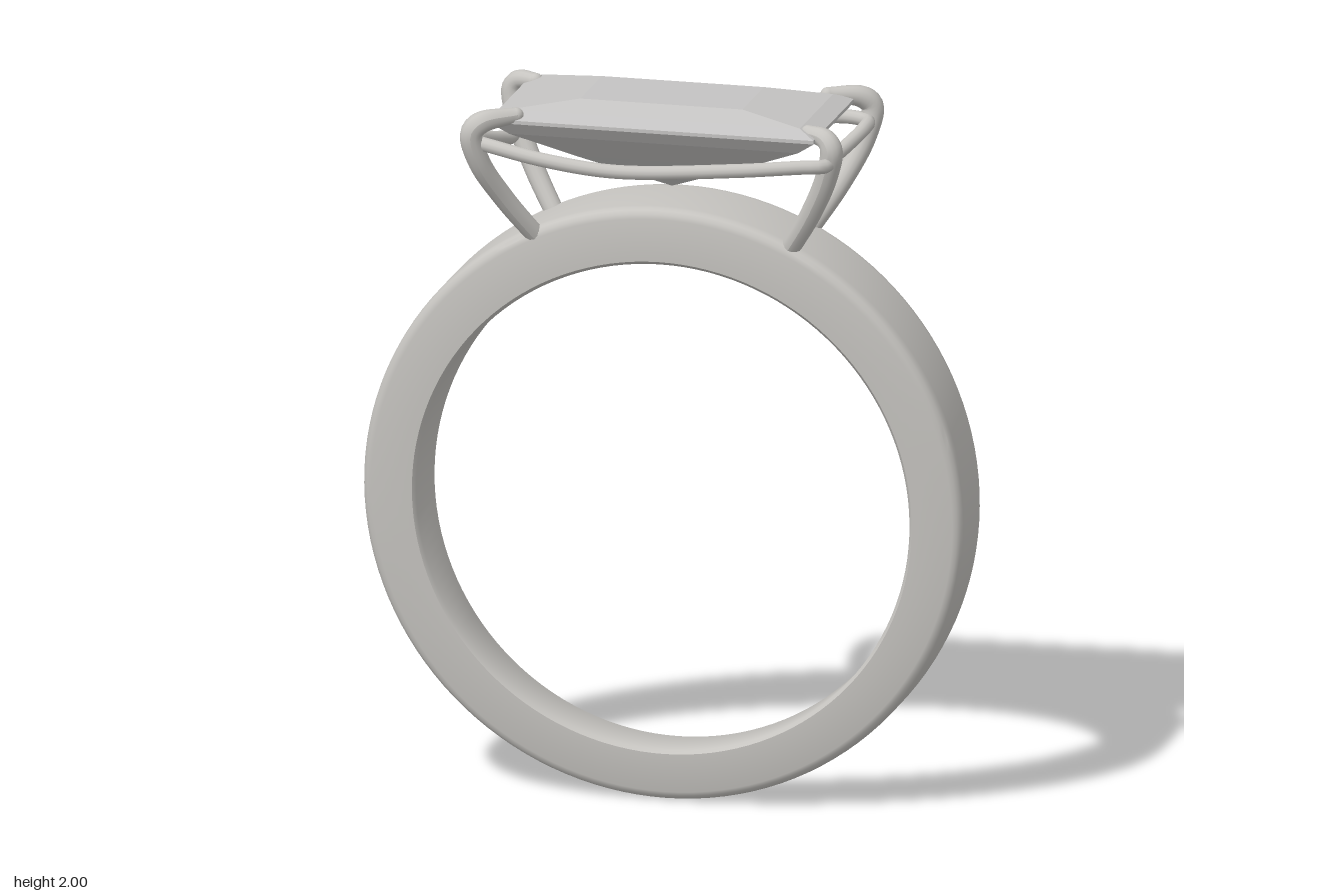
import * as THREE from 'three';
import { toCreasedNormals } from 'three/addons/utils/BufferGeometryUtils.js';

const V = (p) => new THREE.Vector3(...p);

// Skin between closed loops of equal length; wrap joins the last loop to the first
function loft(loops, wrap = false) {
  const n = loops[0].length, pos = loops.flat(2), idx = [];
  const rows = wrap ? loops.length : loops.length - 1;
  for (let i = 0; i < rows; i++) {
    for (let j = 0; j < n; j++) {
      const a = i * n + j, b = i * n + (j + 1) % n;
      const k = ((i + 1) % loops.length) * n;
      const c = k + j, d = k + (j + 1) % n;
      idx.push(a, b, d, a, d, c);
    }
  }
  const g = new THREE.BufferGeometry();
  g.setAttribute('position', new THREE.Float32BufferAttribute(pos, 3));
  g.setIndex(idx);
  return g;
}

// Band: inner and outer circles, wider towards the top, edges rounded
function bandGeometry() {
  const loops = [], N = 128;
  // [share of the way from inner to outer wall, inset from the side]
  const half = [[0, 0.012], [0.06, 0], [0.82, 0], [0.9, 0.004], [0.96, 0.013], [0.99, 0.024], [1, 0.04]];
  const profile = [
    ...half.map(([t, i]) => [t, i, 1]),
    ...half.slice().reverse().map(([t, i]) => [t, i, -1]),
  ];
  for (let k = 0; k < N; k++) {
    const a = (k / N) * Math.PI * 2, c = Math.cos(a), s = Math.sin(a);
    loops.push(profile.map(([t, inset, side]) => {
      const r = 0.7 + 0.152 * t;
      const y = 0.845 + 0.009 * t + r * s;
      return [r * c, y, side * (0.08 + 0.04 * y - inset)];
    }));
  }
  const g = loft(loops, true);
  return toCreasedNormals(g, 0.7);
}

// Step-cut stone: stacked rectangles [half x, half z, y] from the point up to the table
function stoneGeometry() {
  const steps = [
    [0, 0, 1.735], [0.24, 0.12, 1.835], [0.41, 0.205, 1.91], [0.46, 0.23, 1.945],
    [0.46, 0.23, 1.955], [0.41, 0.185, 1.975], [0.23, 0.12, 2], [0, 0, 2],
  ];
  const loops = steps.map(([x, z, y]) => [[x, y, z], [x, y, -z], [-x, y, -z], [-x, y, z]]);
  const g = loft(loops).toNonIndexed();
  g.computeVertexNormals();
  return g;
}

// Tube whose radius follows a rule along its length
function taperedTube(curve, segments, radius) {
  const sides = 14, g = new THREE.TubeGeometry(curve, segments, 1, sides);
  const p = g.attributes.position, v = new THREE.Vector3();
  for (let i = 0; i < p.count; i++) {
    const t = Math.floor(i / (sides + 1)) / segments, c = curve.getPointAt(t);
    v.fromBufferAttribute(p, i).sub(c).multiplyScalar(radius(t)).add(c);
    p.setXYZ(i, v.x, v.y, v.z);
  }
  g.computeVertexNormals();
  return g;
}

export function createModel() {
  const metal = new THREE.MeshStandardMaterial({ color: 0xc6c4c0 });
  metal.name = 'metal';
  const gem = new THREE.MeshStandardMaterial({ color: 0xc4c3c2 });
  gem.name = 'gem';
  const model = new THREE.Group();
  model.name = 'ring';

  const add = (name, geometry, material, parent = model) => {
    const mesh = new THREE.Mesh(geometry, material);
    mesh.name = name;
    parent.add(mesh);
    return mesh;
  };

  add('band', bandGeometry(), metal);
  add('stone', stoneGeometry(), gem);

  // Prongs: two shapes, each repeated by a half turn about y
  const prongPaths = {
    narrowProng: [[0.35, 1.59, 0.1], [0.43, 1.72, 0.15], [0.485, 1.84, 0.185],
      [0.503, 1.925, 0.2], [0.485, 1.952, 0.193], [0.43, 1.96, 0.168]],
    wideProng: [[-0.35, 1.59, 0.11], [-0.43, 1.72, 0.185], [-0.485, 1.84, 0.25],
      [-0.5, 1.925, 0.27], [-0.475, 1.952, 0.258], [-0.39, 1.965, 0.208]],
  };
  const prongs = new THREE.Group();
  prongs.name = 'prongs';
  model.add(prongs);
  for (const [name, path] of Object.entries(prongPaths)) {
    const curve = new THREE.CatmullRomCurve3(path.map(V));
    const radius = (t) => (t < 0.8 ? 0.027 + 0.006 * t : 0.032 - 0.05 * (t - 0.8));
    for (const turn of [0, Math.PI]) {
      const prong = new THREE.Group();
      prong.name = name;
      prong.rotation.y = turn;
      add('post', taperedTube(curve, 48, radius), metal, prong);
      const tip = add('tip', new THREE.SphereGeometry(radius(1), 14, 10), metal, prong);
      tip.position.copy(curve.getPoint(1));
      prongs.add(prong);
    }
  }

  // Gallery wire: half the loop, completed by a half turn
  const halfWire = [
    [-0.49, 1.885, -0.235], [-0.43, 1.885, -0.26], [-0.25, 1.87, -0.285], [0.08, 1.852, -0.31],
    [0.28, 1.868, -0.303], [0.43, 1.888, -0.275], [0.495, 1.89, -0.235], [0.5, 1.885, -0.18],
    [0.475, 1.86, -0.08], [0.455, 1.845, 0], [0.47, 1.86, 0.08], [0.495, 1.885, 0.17],
  ];
  const wire = [...halfWire, ...halfWire.map(([x, y, z]) => [-x, y, -z])];
  const wireCurve = new THREE.CatmullRomCurve3(wire.map(V), true);
  add('galleryWire', new THREE.TubeGeometry(wireCurve, 160, 0.02, 12, true), metal);

  return model;
}
